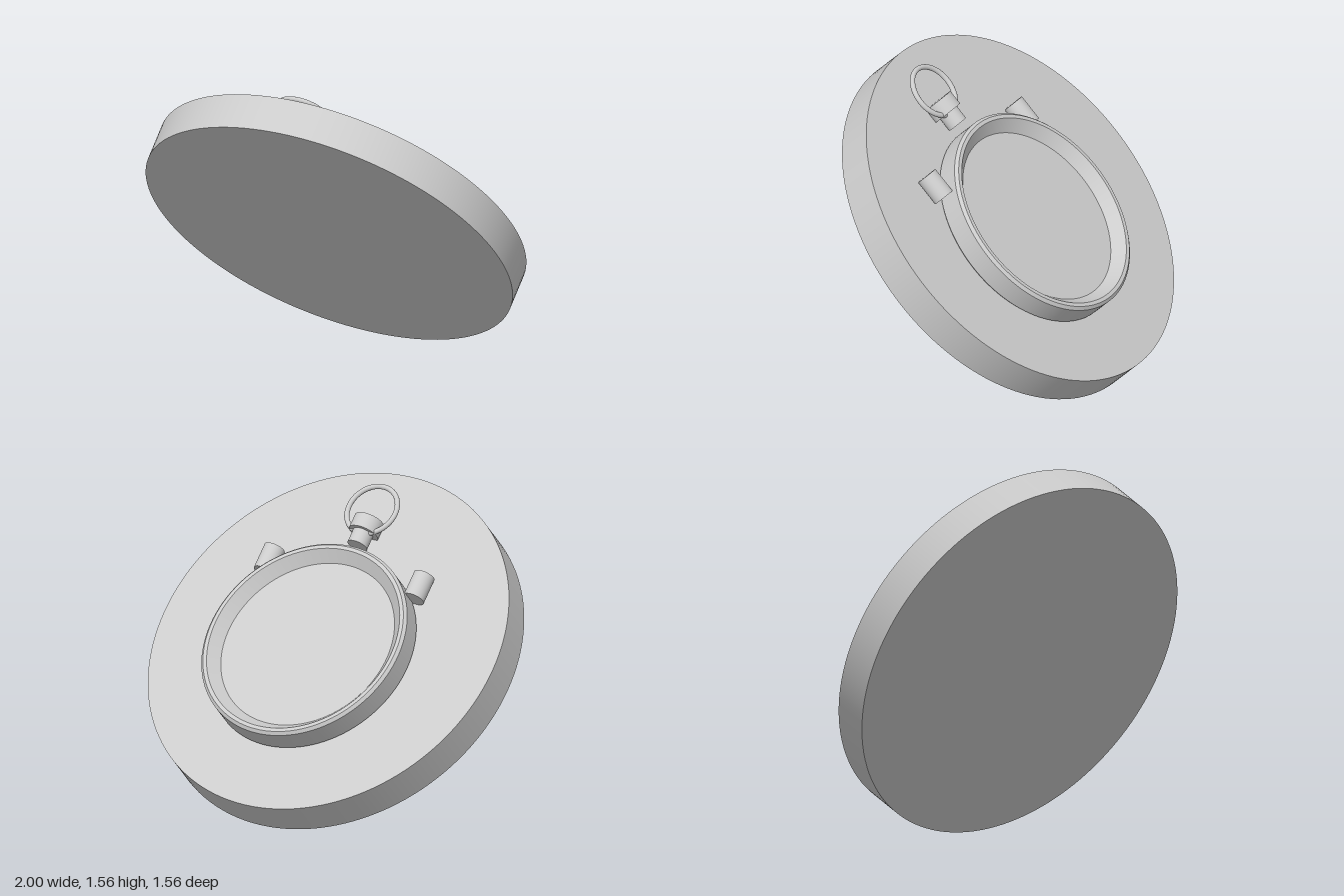
import * as THREE from 'three';
import { toCreasedNormals } from 'three/addons/utils/BufferGeometryUtils.js';

export function createModel() {
  const model = new THREE.Group();
  model.name = 'stopwatchPlaque';
  const grey = new THREE.MeshStandardMaterial({ color: 0xcccccc });
  grey.name = 'light grey';

  // Everything is laid out on a flat disc, which is then tilted by 45 degrees
  const tilted = new THREE.Group();
  tilted.name = 'tiltedAssembly';
  tilted.rotation.x = -Math.PI / 4;
  tilted.position.y = 0.778;
  model.add(tilted);

  const centreX = 0.046;
  const add = (name, geometry, x, y, z) => {
    const mesh = new THREE.Mesh(geometry, grey);
    mesh.name = name;
    mesh.position.set(x, y, z);
    tilted.add(mesh);
    return mesh;
  };
  // Cylinder lying on the disc, from z0 to z1
  const lying = (name, radius, x, y, z0, z1) => {
    const geometry = new THREE.CylinderGeometry(radius, radius, z1 - z0, 48).rotateX(Math.PI / 2);
    return add(name, geometry, x, y, (z0 + z1) / 2);
  };

  // Backing disc
  add('baseDisc', new THREE.CylinderGeometry(1, 1, 0.2, 128), 0, 0, 0);

  // Watch case: chamfered rim, sloping inner wall and sunken dial
  const profile = [
    [0.555, 0.095], [0.555, 0.1], [0.57, 0.115], [0.57, 0.235],
    [0.555, 0.25], [0.535, 0.25], [0.481, 0.19], [0, 0.19],
  ].map(([r, y]) => new THREE.Vector2(r, y));
  const caseGeometry = toCreasedNormals(new THREE.LatheGeometry(profile, 128), 0.4);
  add('watchCase', caseGeometry, centreX, 0, -0.083);

  // Side push buttons
  for (const side of [-1, 1]) {
    lying(side < 0 ? 'rightButton' : 'leftButton', 0.056, centreX + side * 0.457, 0.157, 0.293, 0.434);
  }

  // Crown on its stem, with the hanging ring
  lying('crownStem', 0.054, centreX, 0.155, 0.533, 0.62);
  lying('crown', 0.08, centreX, 0.15, 0.61, 0.69);
  const ring = new THREE.TorusGeometry(0.14, 0.0135, 16, 64).rotateX(Math.PI / 2);
  add('hangingRing', ring, centreX, 0.168, 0.742);

  return model;
}
